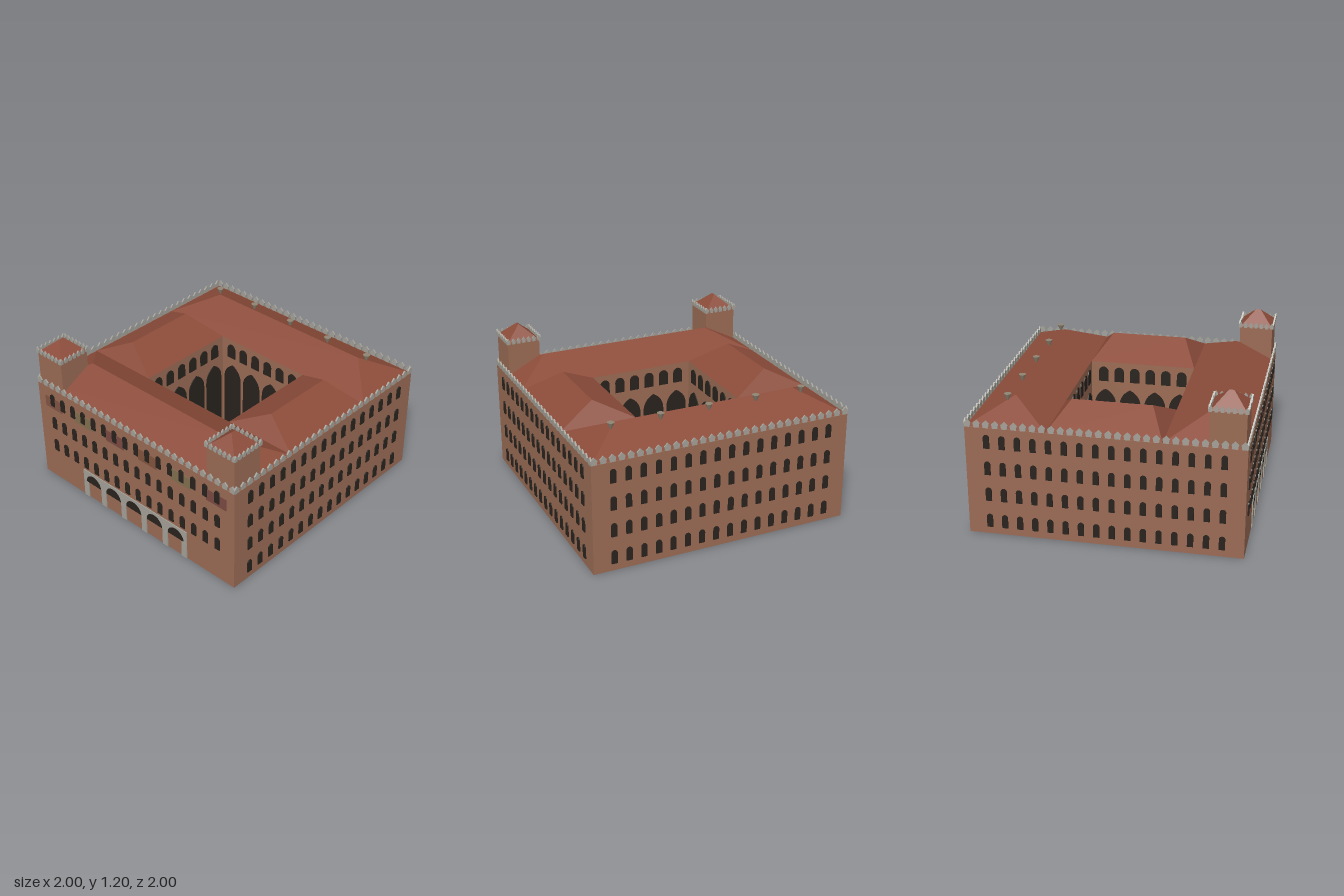
import * as THREE from 'three';
import { mergeGeometries } from 'three/addons/utils/BufferGeometryUtils.js';

const mat = (color) => new THREE.MeshStandardMaterial({ color, flatShading: true });
const brick = mat(0x9a6b54), tile = mat(0x8c4c3a), stone = mat(0xa3a198);
const paving = mat(0x7c7970), dark = mat(0x29231e), clay = mat(0x8f8472);

const HALF = 0.992, COURT = 0.41, EAVES = 0.83;

function add(parent, name, geometry, material) {
  const mesh = new THREE.Mesh(geometry, material);
  mesh.name = name;
  parent.add(mesh);
  return mesh;
}

function box(x0, x1, y0, y1, z0, z1) {
  return new THREE.BoxGeometry(x1 - x0, y1 - y0, z1 - z0)
    .translate((x0 + x1) / 2, (y0 + y1) / 2, (z0 + z1) / 2);
}

const extrude = (shape, depth) =>
  new THREE.ExtrudeGeometry(shape, { depth, bevelEnabled: false, curveSegments: 8 });

// Round or pointed arch standing on y = 0
function archShape(w, h, pointed) {
  const s = new THREE.Shape(), r = w / 2, spring = h - (pointed ? w * 0.8 : r);
  s.moveTo(-r, 0).lineTo(r, 0).lineTo(r, spring);
  if (pointed) {
    s.quadraticCurveTo(r, h - w * 0.25, 0, h);
    s.quadraticCurveTo(-r, h - w * 0.25, -r, spring);
  } else s.absarc(0, spring, r, 0, Math.PI, false);
  return s;
}

// Hipped roof on a rectangle, with its ridge along x or z
function hipRoof(x0, x1, z0, z1, y, top, alongX, inset) {
  const cx = (x0 + x1) / 2, cz = (z0 + z1) / 2;
  const a = [x0, y, z1], b = [x1, y, z1], c = [x1, y, z0], d = [x0, y, z0];
  const p = alongX ? [x0 + inset, top, cz] : [cx, top, z1 - inset];
  const q = alongX ? [x1 - inset, top, cz] : [cx, top, z0 + inset];
  const faces = alongX
    ? [a, b, q, a, q, p, b, c, q, c, d, p, c, p, q, d, a, p]
    : [a, b, p, b, c, q, b, q, p, c, d, q, d, a, p, d, p, q];
  faces.push(a, d, c, a, c, b);
  const g = new THREE.BufferGeometry();
  g.setAttribute('position', new THREE.Float32BufferAttribute(faces.flat(), 3));
  g.computeVertexNormals();
  return g;
}

// Row of copies along x, centred on 0
function row(geometry, count, spacing, y, z) {
  return Array.from({ length: count }, (_, i) =>
    geometry.clone().translate((i - (count - 1) / 2) * spacing, y, z));
}

// Pointed battlements around a square
function battlements(half, count, y, w, h) {
  const s = new THREE.Shape();
  s.moveTo(-w * 0.38, 0).lineTo(w * 0.38, 0).lineTo(w / 2, h * 0.55)
    .lineTo(0, h).lineTo(-w / 2, h * 0.55).closePath();
  const merlon = extrude(s, 0.012), parts = [];
  for (let k = 0; k < 4; k++) {
    const side = row(merlon, count, (2 * half - w) / (count - 1), y, half - 0.012);
    side.forEach((g) => parts.push(g.rotateY(k * Math.PI / 2)));
  }
  return mergeGeometries(parts);
}

export function createModel() {
  const model = new THREE.Group();

  // Four wings around a square court
  const plan = new THREE.Shape(), court = new THREE.Path();
  plan.moveTo(-HALF, -HALF).lineTo(HALF, -HALF).lineTo(HALF, HALF).lineTo(-HALF, HALF).closePath();
  court.moveTo(-COURT, -COURT).lineTo(-COURT, COURT).lineTo(COURT, COURT).lineTo(COURT, -COURT).closePath();
  plan.holes.push(court);
  add(model, 'walls', extrude(plan, EAVES).rotateX(-Math.PI / 2), brick);
  add(model, 'courtyardFloor', box(-COURT, COURT, 0, 0.012, -COURT, COURT), paving);

  // Wing roofs
  const RIDGE = 0.975;
  add(model, 'frontRoof', hipRoof(-0.985, 0.985, COURT, 0.985, EAVES, RIDGE, true, 0.285), tile);
  add(model, 'backRoof', hipRoof(-0.985, 0.985, -0.985, -COURT, EAVES, RIDGE, true, 0.285), tile);
  add(model, 'leftRoof', hipRoof(COURT, 0.985, -COURT, COURT, EAVES, RIDGE, false, 0.12), tile);
  add(model, 'rightRoof', hipRoof(-0.985, -COURT, -COURT, COURT, EAVES, RIDGE, false, 0.12), tile);

  // Outer parapet
  add(model, 'battlements', battlements(0.995, 30, EAVES, 0.05, 0.056), stone);

  // Outer windows: the front has no ground-floor row
  const windowPane = extrude(archShape(0.044, 0.103), 0.01);
  const sideNames = ['front', 'left', 'back', 'right'];
  sideNames.forEach((side, k) => {
    const parts = [0.055, 0.265, 0.47, 0.675].slice(k === 0 ? 1 : 0)
      .flatMap((y) => row(windowPane, 16, 0.1115, y, 0.99));
    add(model, side + 'Windows', mergeGeometries(parts), dark).rotation.y = k * Math.PI / 2;
  });

  // Court arches and the windows above them
  const courtArch = extrude(archShape(0.17, 0.59, true), 0.01);
  const courtWindow = extrude(archShape(0.075, 0.12), 0.01);
  sideNames.forEach((side, k) => {
    const parts = [
      ...row(courtArch, 4, 0.2, 0.012, -COURT - 0.003),
      ...row(courtWindow, 6, 0.125, 0.67, -COURT - 0.003),
    ];
    add(model, side + 'CourtArches', mergeGeometries(parts), dark).rotation.y = k * Math.PI / 2;
  });

  // Painted panels under the front eaves
  [0x835443, 0x83704f, 0x7c4b42, 0x83543c, 0x83704f, 0x7c4b42].forEach((color, i) => {
    const x = (i - 2.5) * 0.331;
    add(model, 'paintedPanel', box(x - 0.09, x + 0.09, 0.65, 0.745, 0.985, 0.996), mat(color));
  });

  // Entrance arcade: a band with round heads on piers
  const arcade = new THREE.Group();
  arcade.name = 'arcade';
  model.add(arcade);
  const STEP = 0.216, R = 0.082, SPRING = 0.135;
  const band = new THREE.Shape(), head = new THREE.Shape();
  band.moveTo(-0.54, 0.24).lineTo(-0.54, SPRING);
  for (let i = -2; i <= 2; i++) {
    band.lineTo(i * STEP - R, SPRING);
    band.absarc(i * STEP, SPRING, R, Math.PI, 0, true);
  }
  band.lineTo(0.54, SPRING).lineTo(0.54, 0.24).closePath();
  add(arcade, 'archBand', extrude(band, 0.014).translate(0, 0, 0.985), stone);
  head.absarc(0, 0, R, 0, Math.PI, false);
  add(arcade, 'archOpenings', mergeGeometries(row(extrude(head, 0.01), 5, STEP, SPRING, 0.985)), dark);
  const piers = row(new THREE.BoxGeometry(0.05, SPRING, 0.016), 6, 0.2055, SPRING / 2, 0.992);
  piers.forEach((g, i) => g.translate((i - 2.5) * (STEP - 0.2055), 0, 0));
  [0, 5].forEach((i) => piers[i].translate(i ? -0.025 : 0.025, 0, 0));
  add(arcade, 'piers', mergeGeometries(piers), stone);

  // Corner towers on the front
  for (const side of [-1, 1]) {
    const tower = new THREE.Group();
    tower.name = side > 0 ? 'leftTower' : 'rightTower';
    tower.position.set(side * 0.85, 0, 0.85);
    add(tower, 'towerBody', box(-0.126, 0.126, EAVES, 1.09, -0.126, 0.126), brick);
    add(tower, 'towerRoof', hipRoof(-0.126, 0.126, -0.126, 0.126, 1.09, 1.2, false, 0.108), tile);
    add(tower, 'towerBattlements', battlements(0.137, 7, 1.085, 0.03, 0.046), stone);
    model.add(tower);
  }

  // Flared chimneys along the back ridge
  for (let i = -2; i <= 2; i++) {
    add(model, 'chimney', new THREE.CylinderGeometry(0.027, 0.006, 0.05, 12), clay)
      .position.set(i * 0.372, 0.972, -0.745);
  }
  return model;
}
